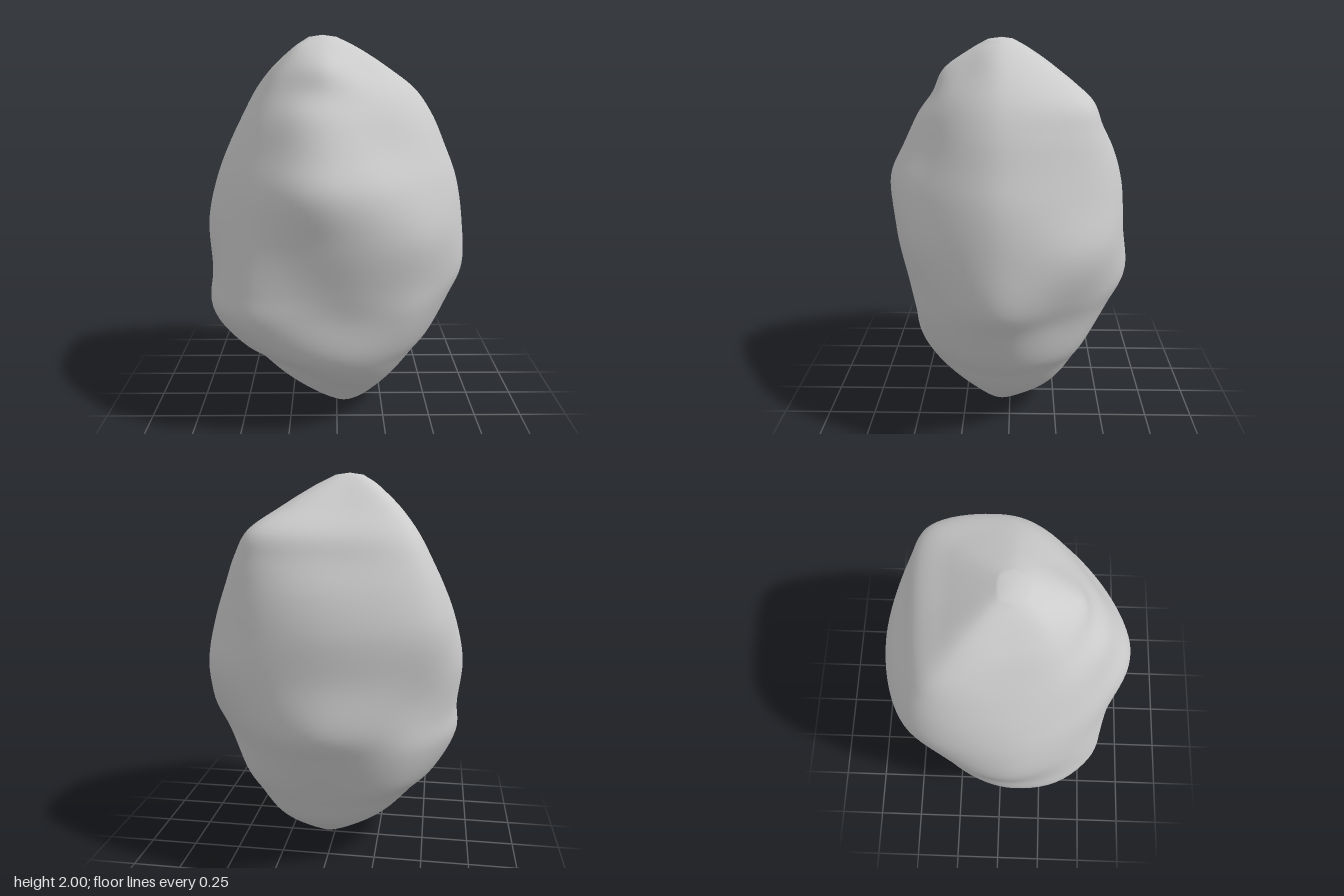
import * as THREE from 'three';

// Each row: height, then radii around the axis every 45 degrees (+x, +x+z, +z, -x+z, -x, -x-z, -z, +x-z)
const ROWS = [
  [0.01, 0.05, 0.05, 0.05, 0.06, 0.07, 0.06, 0.05, 0.05],
  [0.05, 0.12, 0.11, 0.09, 0.12, 0.16, 0.13, 0.11, 0.12],
  [0.20, 0.29, 0.26, 0.24, 0.30, 0.36, 0.34, 0.33, 0.32],
  [0.35, 0.41, 0.38, 0.41, 0.45, 0.49, 0.46, 0.43, 0.43],
  [0.45, 0.49, 0.45, 0.465, 0.55, 0.58, 0.54, 0.49, 0.50],
  [0.65, 0.60, 0.53, 0.49, 0.66, 0.67, 0.615, 0.60, 0.58],
  [0.80, 0.675, 0.56, 0.52, 0.65, 0.66, 0.64, 0.67, 0.64],
  [1.05, 0.68, 0.605, 0.56, 0.60, 0.665, 0.67, 0.645, 0.69],
  [1.28, 0.655, 0.57, 0.575, 0.55, 0.60, 0.68, 0.63, 0.665],
  [1.45, 0.60, 0.51, 0.51, 0.485, 0.52, 0.64, 0.58, 0.64],
  [1.60, 0.54, 0.44, 0.435, 0.42, 0.43, 0.575, 0.50, 0.61],
  [1.72, 0.46, 0.36, 0.355, 0.35, 0.35, 0.495, 0.435, 0.565],
  [1.84, 0.32, 0.25, 0.30, 0.27, 0.26, 0.35, 0.28, 0.36],
  [1.94, 0.17, 0.15, 0.16, 0.17, 0.15, 0.18, 0.14, 0.17],
  [1.99, 0.07, 0.07, 0.07, 0.07, 0.07, 0.07, 0.06, 0.07],
];

// Soft bumps (+) and hollows (-): x, y, z, radius, amount
const DENTS = [
  [-0.16, 1.30, 0.62, 0.20, 0.03],
  [-0.16, 1.62, 0.46, 0.15, 0.02],
  [-0.62, 0.62, 0.30, 0.20, 0.025],
  [-0.12, 0.76, 0.57, 0.20, -0.02],
  [0.25, 1.50, 0.43, 0.18, -0.025],
  [0.58, 0.68, -0.28, 0.22, -0.03],
  [0.62, 1.05, -0.28, 0.20, 0.015],
  [-0.52, 0.92, -0.42, 0.20, -0.03],
  [-0.28, 0.30, 0.33, 0.15, -0.025],
  [0.12, 0.27, 0.30, 0.15, 0.02],
];

const BOTTOM = new THREE.Vector3(0.05, 0, 0.045);
const TOP = new THREE.Vector3(-0.07, 2, 0.045);
const AROUND = 96, UP = 90;

function rockGeometry() {
  // Eight upright curves carry the profile of the stone
  const ribs = [];
  for (let k = 0; k < 8; k++) {
    const a = k * Math.PI / 4;
    const points = ROWS.map(row => new THREE.Vector3().lerpVectors(BOTTOM, TOP, row[0] / 2)
      .add(new THREE.Vector3(Math.cos(a) * row[k + 1], 0, Math.sin(a) * row[k + 1])));
    ribs.push(new THREE.CatmullRomCurve3(points));
  }

  // Closed rings through the ribs, pushed in and out by the dents
  const positions = [], index = [];
  const offset = new THREE.Vector3(), out = new THREE.Vector3();
  for (let j = 0; j <= UP; j++) {
    const ring = new THREE.CatmullRomCurve3(ribs.map(rib => rib.getPoint(j / UP)), true);
    for (let i = 0; i < AROUND; i++) {
      const p = ring.getPoint(i / AROUND);
      offset.set(0, 0, 0);
      for (const [x, y, z, radius, amount] of DENTS) {
        const d2 = (p.x - x) ** 2 + (p.y - y) ** 2 + (p.z - z) ** 2;
        out.set(x, (y - 1) * 0.4, z).normalize();
        offset.addScaledVector(out, amount * Math.exp(-d2 / (radius * radius)));
      }
      p.add(offset);
      positions.push(p.x, p.y, p.z);
    }
  }
  const bottom = positions.length / 3, top = bottom + 1;
  positions.push(...BOTTOM.toArray(), ...TOP.toArray());

  for (let i = 0; i < AROUND; i++) {
    const n = (i + 1) % AROUND;
    for (let j = 0; j < UP; j++) {
      const a = j * AROUND + i, b = j * AROUND + n;
      index.push(a, a + AROUND, b, b, a + AROUND, b + AROUND);
    }
    index.push(bottom, i, n);
    index.push(top, UP * AROUND + n, UP * AROUND + i);
  }

  const geometry = new THREE.BufferGeometry();
  geometry.setAttribute('position', new THREE.Float32BufferAttribute(positions, 3));
  geometry.setIndex(index);
  geometry.computeVertexNormals();
  return geometry;
}

export function createModel() {
  const group = new THREE.Group();
  group.name = 'boulder';
  const rock = new THREE.Mesh(rockGeometry(), new THREE.MeshStandardMaterial({ color: 0xcccccc }));
  rock.name = 'rock';
  group.add(rock);
  return group;
}
